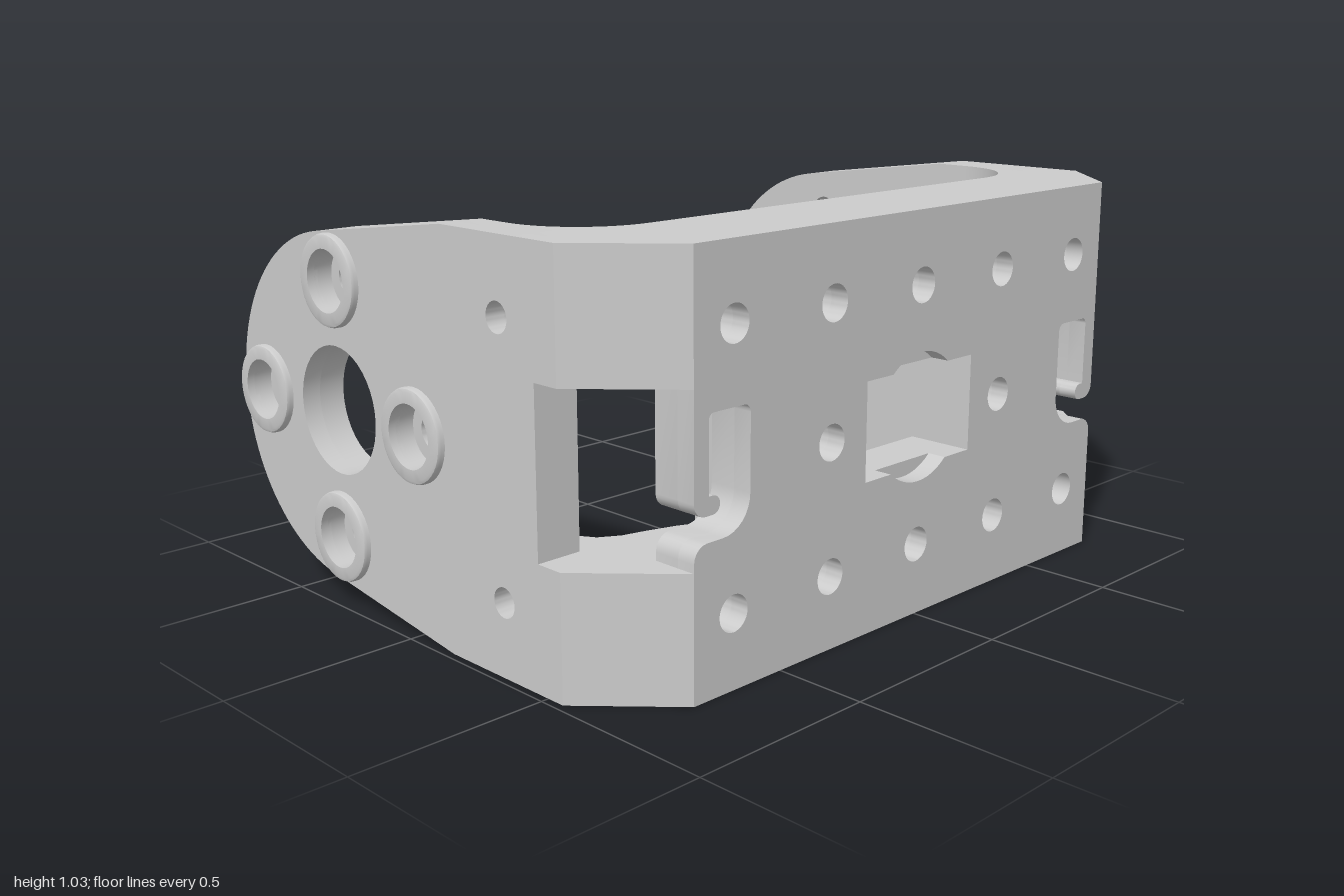
import * as THREE from 'three';
import { toCreasedNormals } from 'three/addons/utils/BufferGeometryUtils.js';

const H = 1.03, MID = 0.515;
const material = new THREE.MeshStandardMaterial({ color: 0xcccccc });

function circle(x, y, r) {
  return new THREE.Path().absarc(x, y, r, 0, Math.PI * 2, true);
}
function extrude(shape, depth) {
  return new THREE.ExtrudeGeometry(shape, { depth, bevelEnabled: false, curveSegments: 20 });
}
const polygon = (pts) => new THREE.Shape(pts.map((p) => new THREE.Vector2(...p)));
// Closes a right-hand run of points with its mirror image.
const mirrored = (pts) => polygon([...pts, ...pts.map(([x, y]) => [-x, y]).reverse()]);
function arc(cx, cy, r, a0, a1, n = 8) {
  return Array.from({ length: n + 1 }, (_, i) => {
    const a = THREE.MathUtils.degToRad(a0 + (a1 - a0) * i / n);
    return [cx + r * Math.cos(a), cy + r * Math.sin(a)];
  });
}

export function createModel() {
  const model = new THREE.Group();
  model.name = 'bracket';
  const add = (name, geometry, x = 0, y = 0, z = 0) => {
    const mesh = new THREE.Mesh(toCreasedNormals(geometry, 0.5), material);
    mesh.name = name;
    mesh.position.set(x, y, z);
    model.add(mesh);
    return mesh;
  };
  // Horizontal slab from an (x, z) shape between two heights.
  const slab = (name, shape, y0, y1) => add(name, extrude(shape, y1 - y0).rotateX(Math.PI / 2), 0, y1, 0);

  // Screw positions on the front: two rows of five and a middle pair
  const screws = [[-0.33, MID], [0.33, MID]];
  for (const y of [0.185, 0.845]) for (let i = -2; i <= 2; i++) screws.push([i * 0.328, y]);

  // Front plate with a hooked cable slot at each end
  const edge = [
    [0.78, 0], [0.78, 0.33], ...arc(0.74, 0.33, 0.04, 20, 90, 4),
    ...arc(0.69, 0.455, 0.085, 270, 180), ...arc(0.625, 0.64, 0.02, 180, 90, 4),
    ...arc(0.72, 0.645, 0.015, 90, 0, 4), [0.735, 0.475],
    ...arc(0.722, 0.453, 0.022, 90, 270), ...arc(0.745, 0.466, 0.035, 270, 360, 6), [0.78, H],
  ];
  const windowRect = [[-0.205, 0.39], [0.205, 0.39], [0.205, 0.64], [-0.205, 0.64]];
  const windowRound = [
    ...arc(0, MID, 0.165, 229.2, 310.8, 12), [0.205, 0.39], [0.205, 0.64],
    ...arc(0, MID, 0.165, 49.2, 130.8, 12), [-0.205, 0.64], [-0.205, 0.39],
  ];
  const frontLayer = (name, opening, z0, z1) => {
    const shape = mirrored(edge);
    shape.holes.push(polygon(opening), ...screws.map(([x, y]) => circle(x, y, 0.045)));
    add(name, extrude(shape, z1 - z0), 0, 0, z0);
  };
  frontLayer('frontPlateOuter', windowRound, 0.71, 0.76);
  frontLayer('frontPlateInner', windowRect, 0.64, 0.71);

  // Hexagonal nut pockets behind the front plate
  for (const [x, y] of screws) {
    const hex = polygon(arc(0, 0, 0.135, 30, 330, 5));
    hex.holes.push(polygon(arc(0, 0, 0.088, 30, 330, 5)));
    const z = y === MID ? 0.58 : 0.54;
    add('nutPocket', extrude(hex, 0.645 - z), x, y, z);
  }

  // Raised frame around the window
  const frame = polygon([[-0.25, 0.31], [0.25, 0.31], [0.25, 0.72], [-0.25, 0.72]]);
  frame.holes.push(polygon(windowRect));
  add('windowFrame', extrude(frame, 0.06), 0, 0, 0.582);

  // Side plates: a recessed outer layer and an inner layer with plain holes
  const lugs = [[0.025, MID], [-0.635, MID], [-0.305, 0.845], [-0.305, 0.185]];
  const sideShape = (lugRadius) => {
    const shape = polygon([
      [-0.55, 0], [-0.15, 0], ...arc(0.305, MID, 0.45, -82, 82, 48), [-0.15, H],
      [-0.55, H], [-0.55, 0.72], [-0.475, 0.72], [-0.475, 0.31], [-0.55, 0.31],
    ]);
    shape.holes.push(circle(0.305, MID, 0.165));
    for (const [z, y] of lugs) shape.holes.push(circle(-z, y, lugRadius));
    for (const y of [0.185, 0.845]) shape.holes.push(circle(-0.35, y, 0.037));
    return shape;
  };
  for (const s of [1, -1]) {
    const layer = (name, r, x0, x1) =>
      add(name, extrude(sideShape(r), x1 - x0).rotateY(Math.PI / 2), s > 0 ? x0 : -x1);
    layer('sidePlateInner', 0.045, 0.86, 0.93);
    layer('sidePlateOuter', 0.08, 0.93, 0.98);

    // Rounded collars around the four side screws
    const profile = [[0.08, -0.01], [0.118, -0.01], [0.118, 0.01], [0.115, 0.017], [0.108, 0.02], [0.08, 0.02], [0.08, -0.01]]
      .map((p) => new THREE.Vector2(...p));
    for (const [z, y] of lugs) {
      add('screwCollar', new THREE.LatheGeometry(profile, 40).rotateZ(-s * Math.PI / 2), s * 0.98, y, z);
    }

    // Chamfered corner walls above and below the side opening
    const corner = polygon([[0.98, 0.55], [0.78, 0.76], [0.78, 0.64], [0.86, 0.55]].map(([x, z]) => [s * x, z]));
    slab('cornerWall', corner, 0, 0.31);
    slab('cornerWall', corner, 0.72, H);

    // Wall beside the cable slot
    add('slotWall', new THREE.BoxGeometry(0.04, 0.35, 0.07), s * 0.58, MID, 0.615);
  }

  // Filleted rims along the top and bottom edges
  const back = [[0.78, 0.64], [0.86, 0.55]];
  const rim = mirrored([...back, ...arc(0.64, 0.25, 0.22, 0, 90, 14)]);
  slab('bottomRim', rim, 0, 0.06);
  slab('topRim', rim, 0.97, H);

  // Swept stiffening ribs: long tapers on the sides, shallow in the middle
  const rib = mirrored([
    ...back, [0.86, 0.14], [0.82, 0.32], [0.8, 0.38], [0.77, 0.43], [0.72, 0.46],
    [0.66, 0.475], [0.58, 0.5], [0.5, 0.535], [0.42, 0.55],
  ]);
  slab('lowerRib', rib, 0.27, 0.31);
  slab('upperRib', rib, 0.72, 0.76);

  return model;
}
